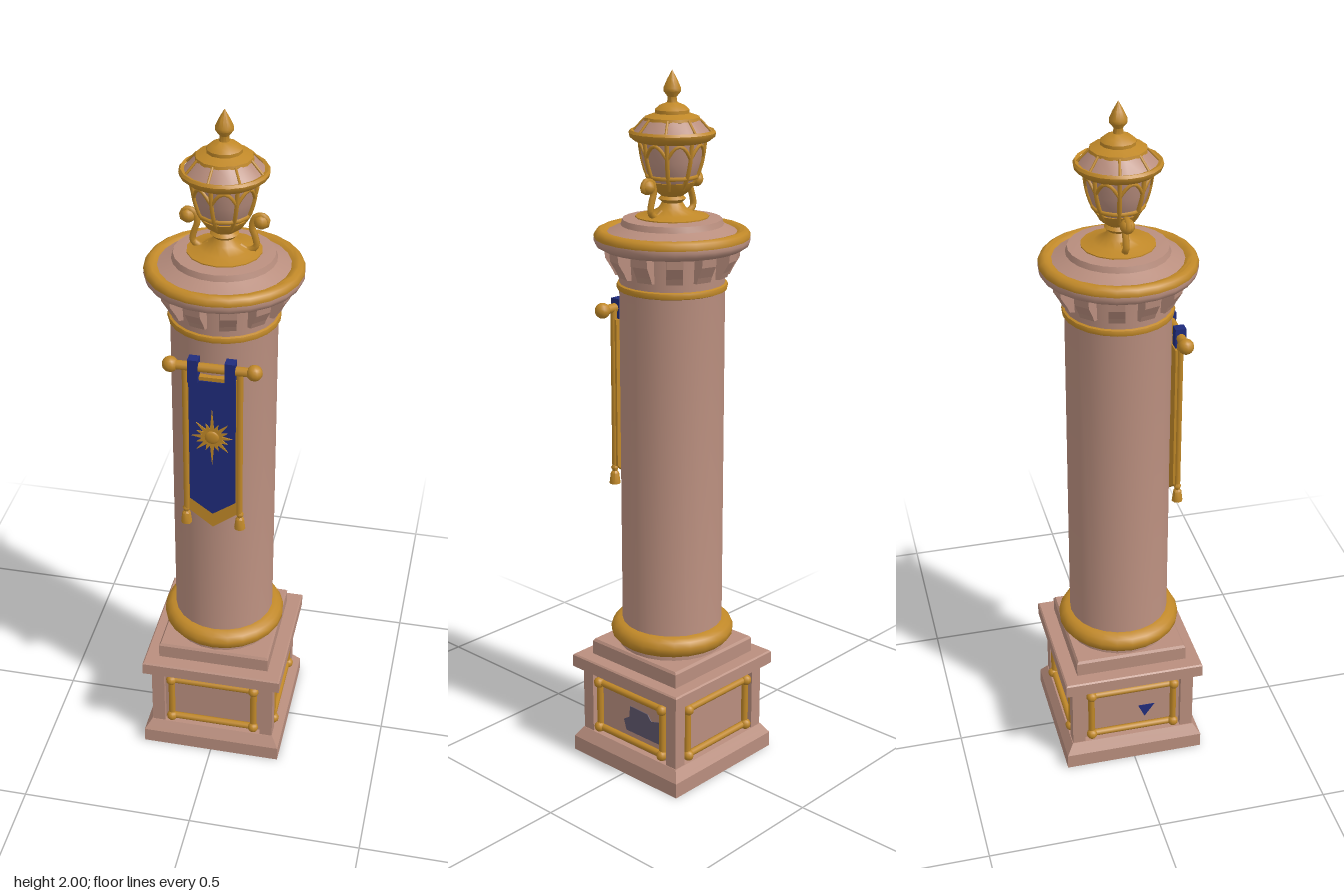
import * as THREE from 'three';
import { toCreasedNormals } from 'three/addons/utils/BufferGeometryUtils.js';

const mat = (name, color) => {
  const m = new THREE.MeshStandardMaterial({ color });
  m.name = name;
  return m;
};

export function createModel() {
  const stone = mat('rose stone', 0xb98e7e);
  const gold = mat('gold', 0xc08828);
  const blue = mat('banner blue', 0x202c7c);
  const slate = mat('slate patch', 0x60586e);
  const root = new THREE.Group();
  root.name = 'lanternColumn';

  const add = (name, geo, material, x = 0, y = 0, z = 0, parent = root) => {
    const m = new THREE.Mesh(geo, material);
    m.name = name;
    m.position.set(x, y, z);
    parent.add(m);
    return m;
  };
  const group = (name, parent = root) => {
    const g = new THREE.Group();
    g.name = name;
    parent.add(g);
    return g;
  };
  const vecs = pts => pts.map(p => new THREE.Vector2(...p));
  // Round turning from [radius, height] points, bottom to top
  const turned = (pts, seg = 24) => toCreasedNormals(new THREE.LatheGeometry(vecs(pts), seg), 0.8);
  // Square turning from [half width, height] points
  const square = pts => toCreasedNormals(
    new THREE.LatheGeometry(vecs(pts.map(([r, y]) => [r * Math.SQRT2, y])), 4).rotateY(Math.PI / 4), 0.3);
  const plate = (pts, depth) => new THREE.ExtrudeGeometry(new THREE.Shape(vecs(pts)), { depth, bevelEnabled: false });
  const tube = (pts, r, seg = 16) => new THREE.TubeGeometry(
    new THREE.CatmullRomCurve3(pts.map(p => new THREE.Vector3(...p))), seg, r, 6);

  // Square pedestal
  add('plinth', square([[0, 0], [0.207, 0], [0.207, 0.045], [0.199, 0.057], [0.187, 0.075], [0, 0.075]]), stone);
  add('pedestalCore', new THREE.BoxGeometry(0.336, 0.21, 0.336), stone, 0, 0.17, 0);
  add('pedestalCap', square([[0, 0.268], [0.195, 0.268], [0.207, 0.276], [0.207, 0.312], [0.203, 0.316], [0, 0.316]]), stone);
  add('upperStep', square([[0.165, 0.31], [0.165, 0.357], [0.16, 0.364], [0, 0.364]]), stone);

  // Four pedestal faces with a corner post and a gilded frame
  for (let i = 0; i < 4; i++) {
    const face = group('pedestalFace');
    face.rotation.y = i * Math.PI / 2;
    add('cornerPost', new THREE.BoxGeometry(0.038, 0.2, 0.038), stone, 0.166, 0.17, 0.166, face);
    for (const y of [0.095, 0.24]) {
      const bar = add('frameRail', new THREE.CylinderGeometry(0.01, 0.01, 0.25, 8), gold, 0, y, 0.176, face);
      bar.rotation.z = Math.PI / 2;
      for (const x of [-0.126, 0.126]) {
        add('frameKnob', new THREE.SphereGeometry(0.016, 10, 8), gold, x, y, 0.18, face);
      }
    }
    for (const x of [-0.126, 0.126]) {
      add('frameStile', new THREE.CylinderGeometry(0.01, 0.01, 0.145, 8), gold, x, 0.168, 0.176, face);
    }
    if (i === 1) {
      add('panelPatch', plate([[-0.025, 0.118], [0.105, 0.118], [0.11, 0.19], [0.075, 0.18], [0.06, 0.198],
        [-0.01, 0.2], [-0.012, 0.165], [-0.035, 0.15]], 0.002), slate, 0, 0, 0.168, face);
    }
    if (i === 3) {
      add('panelPatch', plate([[0.04, 0.122], [0.07, 0.165], [0.02, 0.165]], 0.002), blue, 0, 0, 0.168, face);
    }
  }

  // Shaft with gilded mouldings
  add('shaft', turned([[0.155, 0.36], [0.155, 0.375], [0.145, 0.43], [0.145, 1.46], [0.15, 1.54]]), stone);
  add('baseRing', turned([[0.15, 0.376], [0.165, 0.38], [0.177, 0.394], [0.178, 0.41], [0.17, 0.425], [0.158, 0.433], [0.145, 0.435]]), gold);
  add('neckRing', turned([[0.144, 1.414], [0.151, 1.417], [0.153, 1.425], [0.151, 1.432], [0.144, 1.435]]), gold);

  // Capital with a ring of brackets
  const brackets = group('capitalBrackets');
  const profile = [[0.135, 1.455], [0.156, 1.458], [0.164, 1.475], [0.182, 1.505], [0.186, 1.54], [0.135, 1.54]];
  for (let i = 0; i < 12; i++) {
    const b = add('bracket', plate(profile, 0.044).translate(0, 0, -0.022), stone, 0, 0, 0, brackets);
    b.rotation.y = (i + 0.5) * Math.PI / 6;
  }
  add('capitalSlab', turned([[0.14, 1.528], [0.19, 1.528], [0.208, 1.538], [0.213, 1.55], [0.212, 1.559], [0.18, 1.572],
    [0.14, 1.592], [0.135, 1.608], [0.1, 1.612], [0, 1.612]]), stone);
  // Gilded upper edge of the slab
  add('capitalRim', turned([[0.212, 1.558], [0.213, 1.566], [0.207, 1.576], [0.196, 1.582], [0.185, 1.58], [0.174, 1.572]]), gold);

  // Lantern on the top
  const lantern = group('lantern');
  const part = (name, geo, material) => add(name, geo, material, 0, 0, 0, lantern);
  part('lanternFoot', turned([[0.1, 1.605], [0.1, 1.615], [0.065, 1.622], [0.038, 1.636], [0.028, 1.652],
    [0.038, 1.662], [0.03, 1.67], [0.05, 1.685], [0.062, 1.708], [0, 1.708]], 16), gold);
  const bowl = [[0.045, 1.69], [0.066, 1.722], [0.08, 1.765], [0.088, 1.82]];
  part('lanternBowl', turned(bowl, 16), stone);
  part('bowlBand', new THREE.TorusGeometry(0.067, 0.006, 6, 16).rotateX(Math.PI / 2).translate(0, 1.722, 0), gold);
  part('lanternRim', turned([[0.085, 1.812], [0.1, 1.816], [0.115, 1.828], [0.117, 1.838], [0.112, 1.845], [0.103, 1.842]], 20), gold);
  part('roofPanels', turned([[0.106, 1.838], [0.074, 1.872]], 16), stone);
  part('roofCap', turned([[0.07, 1.868], [0.077, 1.87], [0.075, 1.878], [0.047, 1.888], [0.047, 1.897],
    [0.034, 1.908], [0.014, 1.916], [0.012, 1.93], [0.024, 1.945], [0.024, 1.953], [0.014, 1.975], [0, 2]], 12), gold);
  for (let i = 0; i < 8; i++) {
    const rib = group('lanternRib', lantern);
    rib.rotation.y = i * Math.PI / 4 - 0.2;
    add('bowlRib', tube(bowl.map(([r, y]) => [r + 0.001, y, 0]), 0.006, 8), gold, 0, 0, 0, rib);
    add('roofRib', tube([[0.106, 1.84, 0], [0.074, 1.874, 0]], 0.0035, 2), gold, 0, 0, 0, rib);
    // Arch between this rib and the next
    const arch = [];
    for (let k = 0; k <= 6; k++) {
      const a = k / 6 * Math.PI / 4;
      const lift = Math.sin(k / 6 * Math.PI);
      const r = 0.083 + 0.004 * lift;
      arch.push([r * Math.cos(a), 1.775 + 0.035 * lift, -r * Math.sin(a)]);
    }
    add('bowlArch', tube(arch, 0.005, 8), gold, 0, 0, 0, rib);
  }
  // Scrolls beside the foot
  for (const s of [-1, 1]) {
    const scroll = group('scroll', lantern);
    scroll.rotation.y = s < 0 ? Math.PI : 0;
    add('scrollStem', tube([[0.04, 1.628, 0], [0.062, 1.617, 0], [0.084, 1.632, 0], [0.08, 1.66, 0], [0.072, 1.685, 0],
      [0.08, 1.713, 0], [0.103, 1.717, 0], [0.112, 1.698, 0], [0.095, 1.69, 0]], 0.009, 24), gold, 0, 0, 0, scroll);
    add('scrollBud', new THREE.SphereGeometry(0.02, 10, 8), gold, 0.096, 1.702, 0, scroll);
  }

  // Hanging banner
  const banner = group('banner');
  const rod = add('rod', new THREE.CylinderGeometry(0.013, 0.013, 0.22, 10), gold, 0, 1.345, 0.158, banner);
  rod.rotation.z = Math.PI / 2;
  add('bannerTrim', plate([[-0.078, 0.885], [0, 0.825], [0.078, 0.885], [0.078, 1.315], [-0.078, 1.315]], 0.018),
    gold, 0, 0, 0.14, banner);
  add('bannerCloth', plate([[-0.064, 0.918], [0, 0.872], [0.064, 0.918], [0.064, 1.304], [-0.064, 1.304]], 0.003),
    blue, 0, 0, 0.158, banner);
  for (const s of [-1, 1]) {
    add('rodKnob', new THREE.SphereGeometry(0.022, 12, 8), gold, s * 0.113, 1.345, 0.158, banner);
    add('hangingLoop', new THREE.BoxGeometry(0.028, 0.068, 0.03), blue, s * 0.05, 1.337, 0.158, banner);
    add('sideCord', new THREE.CylinderGeometry(0.009, 0.009, 0.47, 8), gold, s * 0.074, 1.11, 0.154, banner);
    add('tassel', turned([[0, 0.828], [0.016, 0.83], [0.012, 0.862], [0.007, 0.868], [0.011, 0.878], [0.005, 0.89]], 8),
      gold, s * 0.076, 0, 0.154, banner);
  }
  // Sunburst emblem with long, medium and short rays
  const rays = [];
  for (let i = 0; i < 32; i++) {
    const a = i * Math.PI / 16;
    const r = i % 2 ? 0.028 : i % 16 === 8 ? 0.09 : i % 8 === 0 ? 0.056 : i % 4 === 0 ? 0.062 : 0.046;
    rays.push([r * Math.cos(a), r * Math.sin(a)]);
  }
  add('sunburst', plate(rays, 0.004), gold, 0, 1.13, 0.16, banner);
  add('sunburstBoss', new THREE.SphereGeometry(0.02, 12, 8).scale(1, 1, 0.3), gold, 0, 1.13, 0.164, banner);

  return root;
}
